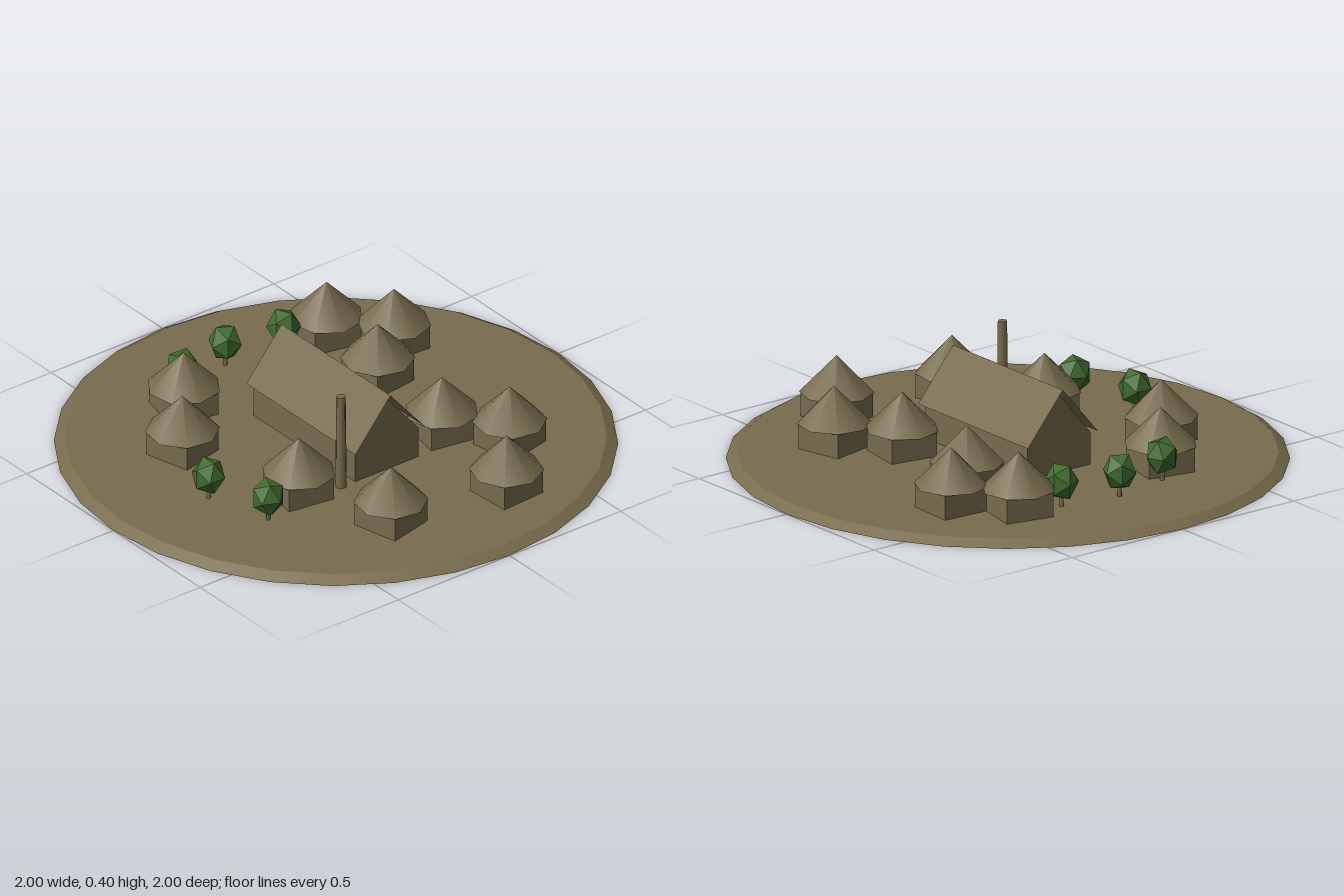
import * as THREE from 'three';

export function createModel() {
  const model = new THREE.Group();
  model.name = 'village';

  const earth = new THREE.MeshStandardMaterial({ color: 0x786c4e, side: THREE.DoubleSide });
  earth.name = 'earth brown';
  const leaf = new THREE.MeshStandardMaterial({ color: 0x3f6b2f, flatShading: true });
  leaf.name = 'leaf green';

  const GROUND = 0.025;

  function add(parent, name, geometry, material, x, y, z) {
    const mesh = new THREE.Mesh(geometry, material);
    mesh.name = name;
    mesh.position.set(x, y, z);
    parent.add(mesh);
    return mesh;
  }

  function addGroup(name, x, z, turn) {
    const group = new THREE.Group();
    group.name = name;
    group.position.set(x, GROUND, z);
    group.rotation.y = turn;
    model.add(group);
    return group;
  }

  // Round ground with a sloping rim
  add(model, 'ground', new THREE.CylinderGeometry(0.96, 1, GROUND, 28), earth, 0, GROUND / 2, 0);

  // Long hall: gabled body
  const gable = new THREE.Shape([
    [-0.142, 0], [0.142, 0], [0.142, 0.118], [0, 0.291], [-0.142, 0.118],
  ].map(([x, y]) => new THREE.Vector2(x, y)));
  const hall = addGroup('hall', 0, 0, 0);
  const body = new THREE.ExtrudeGeometry(gable, { depth: 0.585, bevelEnabled: false });
  body.translate(0, 0, -0.2925).rotateY(Math.PI / 2);
  add(hall, 'hallWalls', body, earth, 0, 0, 0);

  // Two thin roof sheets overhanging the walls
  const run = 0.158, rise = 0.187, eave = 0.126;
  for (const side of [1, -1]) {
    const sheet = new THREE.PlaneGeometry(0.628, Math.hypot(run, rise));
    sheet.rotateX(-Math.atan2(run, rise));
    if (side < 0) sheet.rotateY(Math.PI);
    add(hall, side > 0 ? 'frontRoof' : 'backRoof', sheet, earth,
      0, eave + rise / 2, side * run / 2);
  }

  // Tall post beside the hall
  add(model, 'post', new THREE.CylinderGeometry(0.017, 0.021, 0.37, 7), earth,
    0.285, GROUND + 0.185, 0.2);

  // Square huts with cone roofs: x, z, turn
  const huts = [
    [-0.372, -0.55, -0.05], [-0.557, -0.392, -0.2], [-0.215, -0.355, 0.12],
    [0.215, -0.308, -0.17], [0.415, -0.457, 0.22], [0.675, -0.24, 0.07],
    [0.595, 0.217, 0.24], [0.237, 0.352, -0.15], [-0.482, 0.308, -0.2],
    [-0.247, 0.497, 0.25],
  ];
  const wallGeometry = new THREE.BoxGeometry(0.183, 0.092, 0.183);
  const coneGeometry = new THREE.ConeGeometry(0.134, 0.138, 8);
  for (const [x, z, turn] of huts) {
    const hut = addGroup('hut', x, z, turn);
    add(hut, 'hutWalls', wallGeometry, earth, 0, 0.046, 0);
    add(hut, 'hutRoof', coneGeometry, earth, 0, 0.161, 0);
  }

  // Small trees: x, z, turn
  const trees = [
    [-0.59, -0.225, 0.4], [-0.632, 0.005, 1.1], [-0.587, 0.232, 2.0],
    [0.06, 0.62, 0], [0.308, 0.545, 2.7],
  ];
  const trunkGeometry = new THREE.CylinderGeometry(0.007, 0.009, 0.06, 5);
  const crownGeometry = new THREE.IcosahedronGeometry(0.063, 0);
  for (const [x, z, turn] of trees) {
    const tree = addGroup('tree', x, z, turn);
    add(tree, 'trunk', trunkGeometry, earth, 0, 0.03, 0);
    add(tree, 'crown', crownGeometry, leaf, 0, 0.093, 0).scale.y = 1.15;
  }

  return model;
}
